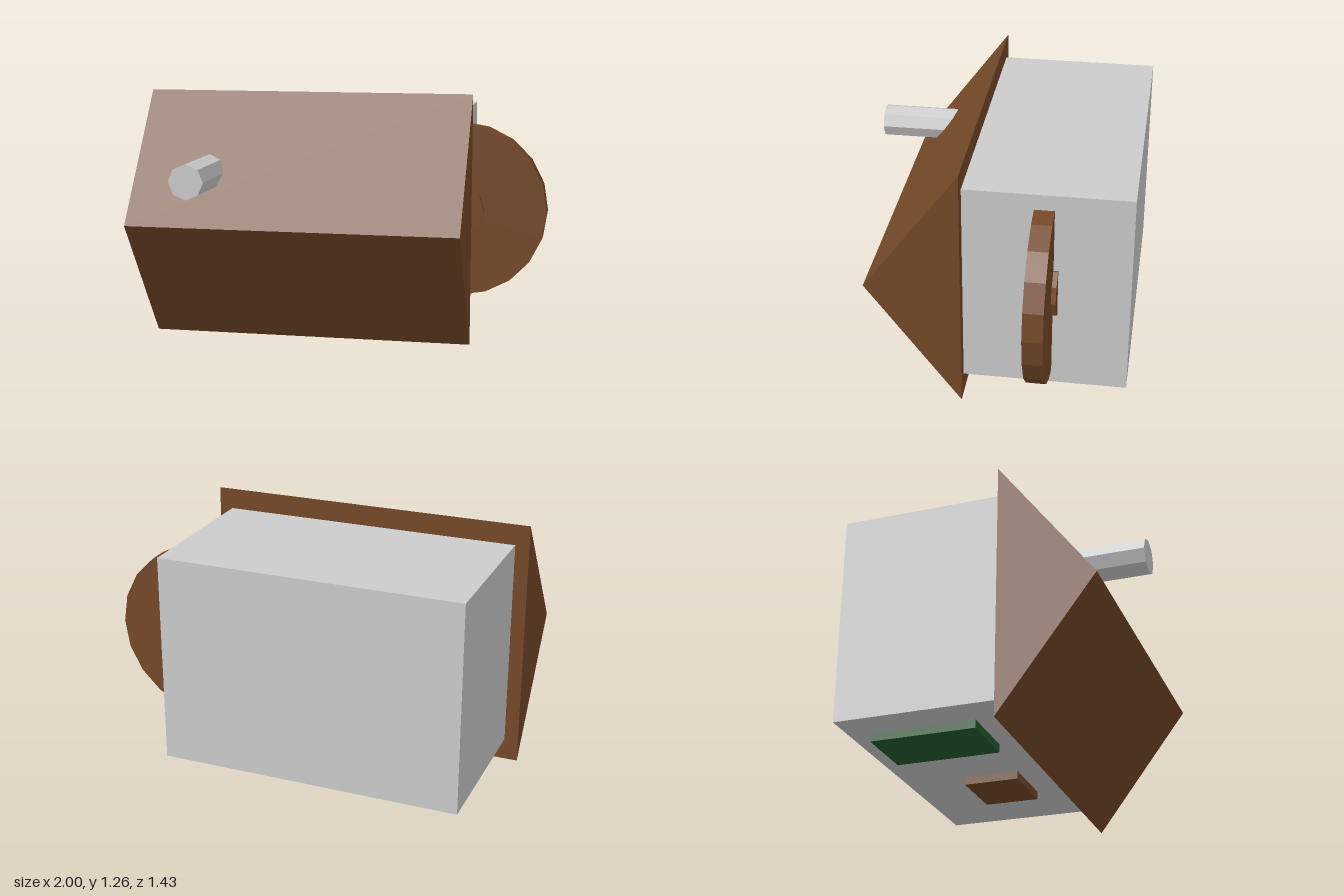
import * as THREE from 'three';

const material = (color) => new THREE.MeshStandardMaterial({ color, flatShading: true });

export function createModel() {
  const model = new THREE.Group();
  const grey = material(0xcccccc);
  const brown = material(0x744827);
  const green = material(0x205c2f);

  const add = (name, geometry, mat, x, y, z) => {
    const mesh = new THREE.Mesh(geometry, mat);
    mesh.name = name;
    mesh.position.set(x, y, z);
    model.add(mesh);
    return mesh;
  };

  // Box from its two extreme corners
  const block = (name, mat, [x0, y0, z0], [x1, y1, z1]) =>
    add(name, new THREE.BoxGeometry(x1 - x0, y1 - y0, z1 - z0), mat,
      (x0 + x1) / 2, (y0 + y1) / 2, (z0 + z1) / 2);

  // Faceted cylinder lying along z
  const rod = (name, mat, radius, sides, x, y, z0, z1) => {
    const geometry = new THREE.CylinderGeometry(radius, radius, z1 - z0, sides);
    // put a corner on +x, then lay the axis along z
    geometry.rotateY(Math.PI / 2).rotateX(Math.PI / 2);
    return add(name, geometry, mat, x, y, (z0 + z1) / 2);
  };

  // Main housing
  block('housing', grey, [-0.93, 0.11, -0.713], [0.58, 1.16, 0.095]);

  // Wedge-shaped front: triangular section swept along x
  const section = new THREE.Shape([
    new THREE.Vector2(-0.095, 0),
    new THREE.Vector2(-0.095, 1.265),
    new THREE.Vector2(-0.567, 0.633),
  ]);
  const wedge = new THREE.ExtrudeGeometry(section, { depth: 1.647, bevelEnabled: false });
  wedge.rotateY(Math.PI / 2); // shape x becomes -z, depth becomes +x
  add('frontWedge', wedge, brown, -1, 0, 0);

  // Round peg standing out of the wedge
  rod('frontPeg', grey, 0.086, 8, -0.634, 0.88, 0.1, 0.715);

  // Side wheel and its hub, half sunk into the housing
  rod('wheel', brown, 0.453, 20, 0.547, 0.633, -0.342, -0.245);
  rod('wheelHub', brown, 0.13, 10, 0.547, 0.633, -0.365, -0.22);

  // Plates under the housing
  block('smallBottomPlate', brown, [-0.09, 0.07, -0.397], [0.22, 0.11, -0.12]);
  block('largeBottomPlate', green, [-0.755, 0.07, -0.607], [-0.44, 0.11, -0.085]);

  return model;
}
